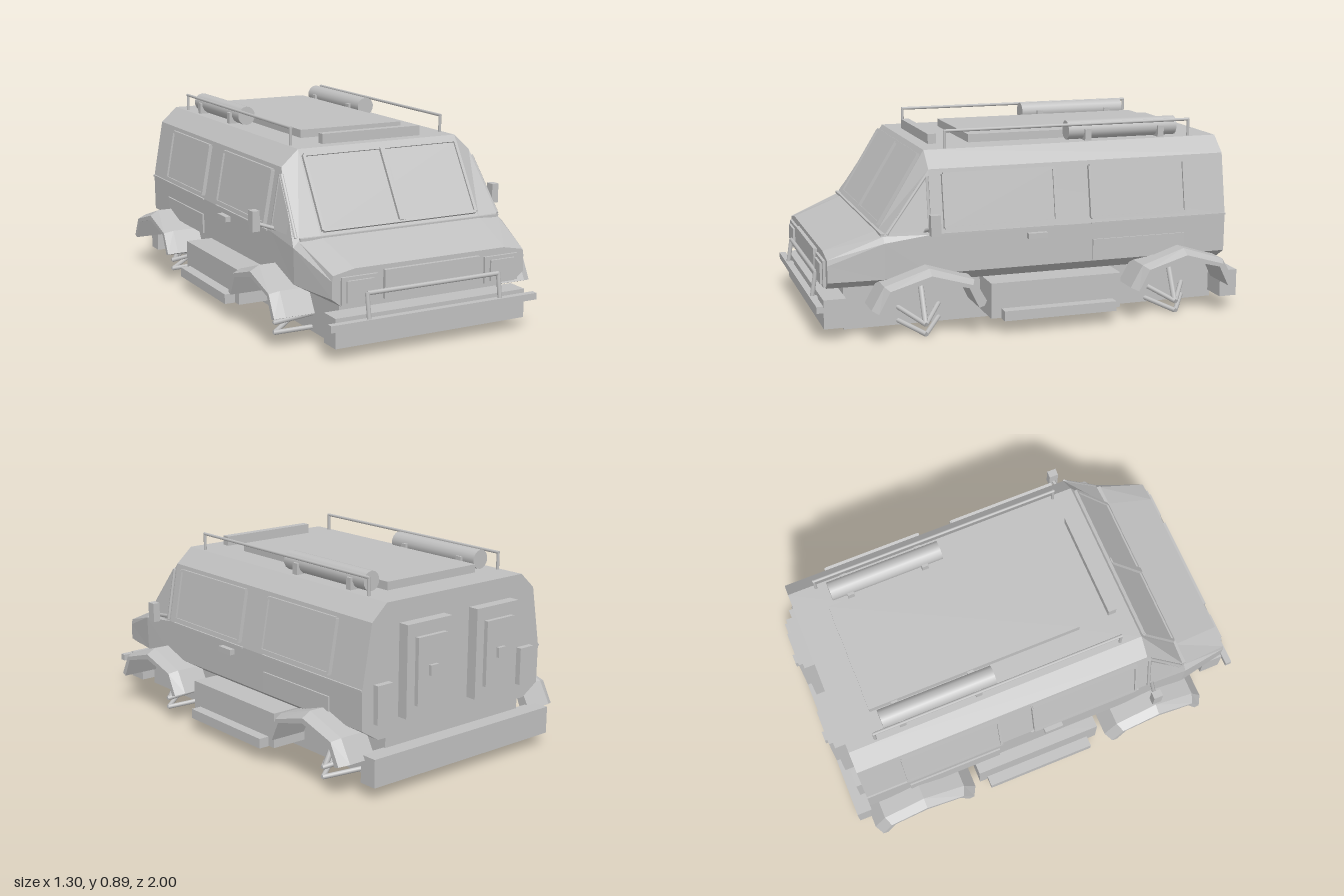
import * as THREE from 'three';

const grey = new THREE.MeshStandardMaterial({ color: 0xc0c0c0 });
grey.name = 'plain grey';

const V = (x, y, z) => new THREE.Vector3(x, y, z);

// Skin a list of equal-length convex rings, with closed ends
function loft(rings, flip = false) {
  const pos = [];
  const tri = (a, b, c) => { for (const p of flip ? [a, c, b] : [a, b, c]) pos.push(...p); };
  const n = rings[0].length;
  for (let i = 0; i < rings.length - 1; i++) {
    for (let j = 0; j < n; j++) {
      const k = (j + 1) % n, r = rings[i], s = rings[i + 1];
      tri(r[j], r[k], s[k]);
      tri(r[j], s[k], s[j]);
    }
  }
  const last = rings[rings.length - 1];
  for (let j = 1; j < n - 1; j++) {
    tri(rings[0][0], rings[0][j + 1], rings[0][j]);
    tri(last[0], last[j], last[j + 1]);
  }
  const g = new THREE.BufferGeometry();
  g.setAttribute('position', new THREE.Float32BufferAttribute(pos, 3));
  g.computeVertexNormals();
  return g;
}

export function createModel() {
  const model = new THREE.Group();
  model.name = 'van';

  const add = (name, geo, parent = model) => {
    const m = new THREE.Mesh(geo, grey);
    m.name = name;
    parent.add(m);
    return m;
  };
  // Box given by its min and max on each axis
  const box = (name, x0, x1, y0, y1, z0, z1, parent) => {
    const m = add(name, new THREE.BoxGeometry(Math.abs(x1 - x0), y1 - y0, z1 - z0), parent);
    m.position.set((x0 + x1) / 2, (y0 + y1) / 2, (z0 + z1) / 2);
    return m;
  };
  // Straight rod between two points
  const rod = (name, a, b, r, sides = 8) => {
    const m = add(name, new THREE.CylinderGeometry(r, r, a.distanceTo(b), sides));
    m.position.copy(a).add(b).multiplyScalar(0.5);
    m.quaternion.setFromUnitVectors(V(0, 1, 0), b.clone().sub(a).normalize());
    return m;
  };
  // Rectangular frame and pane lying in the local xy plane
  const windowPane = (name, w, h, t, depth) => {
    const g = new THREE.Group();
    g.name = name;
    box('glass', -w / 2, w / 2, -h / 2, h / 2, -0.004, 0.004, g);
    for (const s of [-1, 1]) {
      box('frameRail', -w / 2, w / 2, s * h / 2 - t / 2, s * h / 2 + t / 2, -depth, depth, g);
      box('framePost', s * w / 2 - t / 2, s * w / 2 + t / 2, -h / 2, h / 2, -depth, depth, g);
    }
    model.add(g);
    return g;
  };

  // Body shell: half sections from roof to sill, mirrored into rings
  const section = (z, half) => [
    ...half.map(([x, y]) => [x, y, z]),
    ...half.slice().reverse().map(([x, y]) => [-x, y, z]),
  ].reverse();
  const cabin = [[0.4, 0.81], [0.48, 0.738], [0.53, 0.46], [0.528, 0.285], [0.44, 0.23]];
  add('body', loft([
    section(-0.915, cabin),
    section(0.49, cabin),
    section(0.7, [[0.4, 0.468], [0.505, 0.46], [0.53, 0.435], [0.526, 0.275], [0.44, 0.23]]),
    section(0.94, [[0.37, 0.385], [0.47, 0.365], [0.475, 0.34], [0.475, 0.265], [0.43, 0.23]]),
  ]));

  // Windscreen with centre bar and cowl strip
  const screen = windowPane('windscreen', 0.77, 0.345, 0.014, 0.012);
  screen.position.set(0, 0.637, 0.6);
  screen.rotation.x = -0.553;
  box('centreBar', -0.013, 0.013, -0.172, 0.172, -0.01, 0.018, screen);
  box('cowlStrip', -0.5, 0.5, 0.46, 0.472, 0.69, 0.71);

  // Undertray and bumpers
  box('chassis', -0.4, 0.4, 0.03, 0.24, -0.915, 0.86);
  box('frontBumper', -0.47, 0.47, 0.06, 0.19, 0.86, 0.96);
  box('rearBumper', -0.525, 0.525, 0.06, 0.185, -0.99, -0.905);

  // Grille and bull bar
  box('grille', -0.235, 0.235, 0.24, 0.365, 0.93, 0.957);
  box('bullBar', -0.51, 0.51, 0.145, 0.175, 0.968, 0.998);
  rod('bullBarTop', V(-0.325, 0.28, 0.965), V(0.325, 0.28, 0.965), 0.01);

  // Roof panel and light bar
  box('roofPanel', -0.262, 0.262, 0.8, 0.847, -0.765, 0.245);
  box('lightBar', -0.25, 0.25, 0.805, 0.855, 0.392, 0.43);

  for (const s of [1, -1]) {
    // Side windows on the sloping upper flank
    for (const [z0, z1] of [[-0.08, 0.43], [-0.71, -0.25]]) {
      const w = windowPane('sideWindow', z1 - z0, 0.235, 0.012, 0.013);
      w.rotation.set(0, s * Math.PI / 2, s * 0.18, 'ZYX');
      w.position.set(s * 0.51, 0.6, (z0 + z1) / 2);
    }
    // Triangular quarter window
    const tri = [V(0.487, 0.7, 0.505), V(0.526, 0.477, 0.505), V(0.509, 0.475, 0.675)];
    const ring = (d) => tri.map((p) => [s * (p.x + d), p.y, p.z + d * 0.2]);
    add('quarterWindow', loft([ring(-0.006), ring(0.01)], s > 0).clone(), model);
    rod('quarterFrame', V(s * 0.486, 0.71, 0.505), V(s * 0.51, 0.47, 0.685), 0.008, 6);
    rod('quarterPost', V(s * 0.49, 0.71, 0.5), V(s * 0.532, 0.47, 0.5), 0.008, 6);

    // Flank trim, door handle and lower panel
    box('beltTrim', s * 0.52, s * 0.537, 0.456, 0.464, -0.1, 0.45);
    box('beltTrim', s * 0.52, s * 0.537, 0.456, 0.464, -0.915, -0.25);
    box('doorHandle', s * 0.52, s * 0.555, 0.413, 0.438, -0.035, 0.055);
    box('lowerPanel', s * 0.52, s * 0.537, 0.292, 0.385, -0.708, -0.258);

    // Side locker and step
    box('sideLocker', s * 0.38, s * 0.572, 0.07, 0.23, -0.38, 0.235);
    box('sideStep', s * 0.56, s * 0.622, 0.068, 0.113, -0.34, 0.188);

    // Door mirror
    box('mirror', s * 0.598, s * 0.632, 0.475, 0.565, 0.476, 0.52);
    rod('mirrorArm', V(s * 0.52, 0.478, 0.52), V(s * 0.61, 0.508, 0.495), 0.009, 6);

    // Headlight and bull bar leg
    box('headlight', s * 0.265, s * 0.435, 0.237, 0.355, 0.93, 0.952);
    box('headlightLens', s * 0.29, s * 0.415, 0.247, 0.34, 0.95, 0.962);
    rod('bullBarLeg', V(s * 0.325, 0.16, 0.985), V(s * 0.325, 0.285, 0.965), 0.01);
    box('bullBarMount', s * 0.3, s * 0.34, 0.145, 0.17, 0.94, 0.975);

    // Roof rail and stowage tube
    const railX = s * 0.385;
    rod('roofRail', V(railX, 0.887, -0.79), V(railX, 0.887, 0.395), 0.007);
    for (const z of [-0.785, 0.39]) rod('railPost', V(railX, 0.79, z), V(railX, 0.89, z), 0.007);
    rod('stowageTube', V(s * 0.325, 0.855, -0.735), V(s * 0.325, 0.855, -0.2), 0.044, 14);
    for (const z of [-0.29, -0.65]) box('tubeBracket', s * 0.27, s * 0.38, 0.8, 0.862, z - 0.015, z + 0.015);

    // Wheel arches and suspension
    for (const z of [0.522, -0.673]) {
      const outer = [[-0.257, 0.165], [-0.2, 0.265], [0, 0.33], [0.2, 0.265], [0.257, 0.165]];
      const inner = [[-0.21, 0.148], [-0.165, 0.24], [0, 0.282], [0.165, 0.24], [0.21, 0.148]];
      add('wheelArch', loft(outer.map(([dz, y], i) => {
        const [iz, iy] = inner[i];
        return [
          [s * 0.47, y, z + dz], [s * 0.605, y, z + dz],
          [s * 0.648, (y + iy) / 2, z + (dz + iz) / 2],
          [s * 0.648, iy, z + iz], [s * 0.47, iy, z + iz],
        ];
      }), s > 0));
      rod('damper', V(s * 0.43, 0.25, z), V(s * 0.525, 0.06, z), 0.013);
      for (const d of [-0.11, 0.11]) {
        rod('lowerWishbone', V(s * 0.37, 0.055, z + d), V(s * 0.535, 0.016, z), 0.011);
        rod('upperWishbone', V(s * 0.37, 0.12, z + d), V(s * 0.535, 0.06, z), 0.011);
      }
    }

    // Rear door panels and lamps
    box('rearPanel', s * 0.075, s * 0.33, 0.308, 0.713, -0.965, -0.9);
    box('rearPanelInset', s * 0.12, s * 0.285, 0.36, 0.655, -0.985, -0.96);
    box('rearKnob', s * 0.18, s * 0.225, 0.485, 0.53, -1, -0.98);
    box('rearLamp', s * 0.385, s * 0.468, 0.305, 0.475, -0.942, -0.9);
  }
  return model;
}
